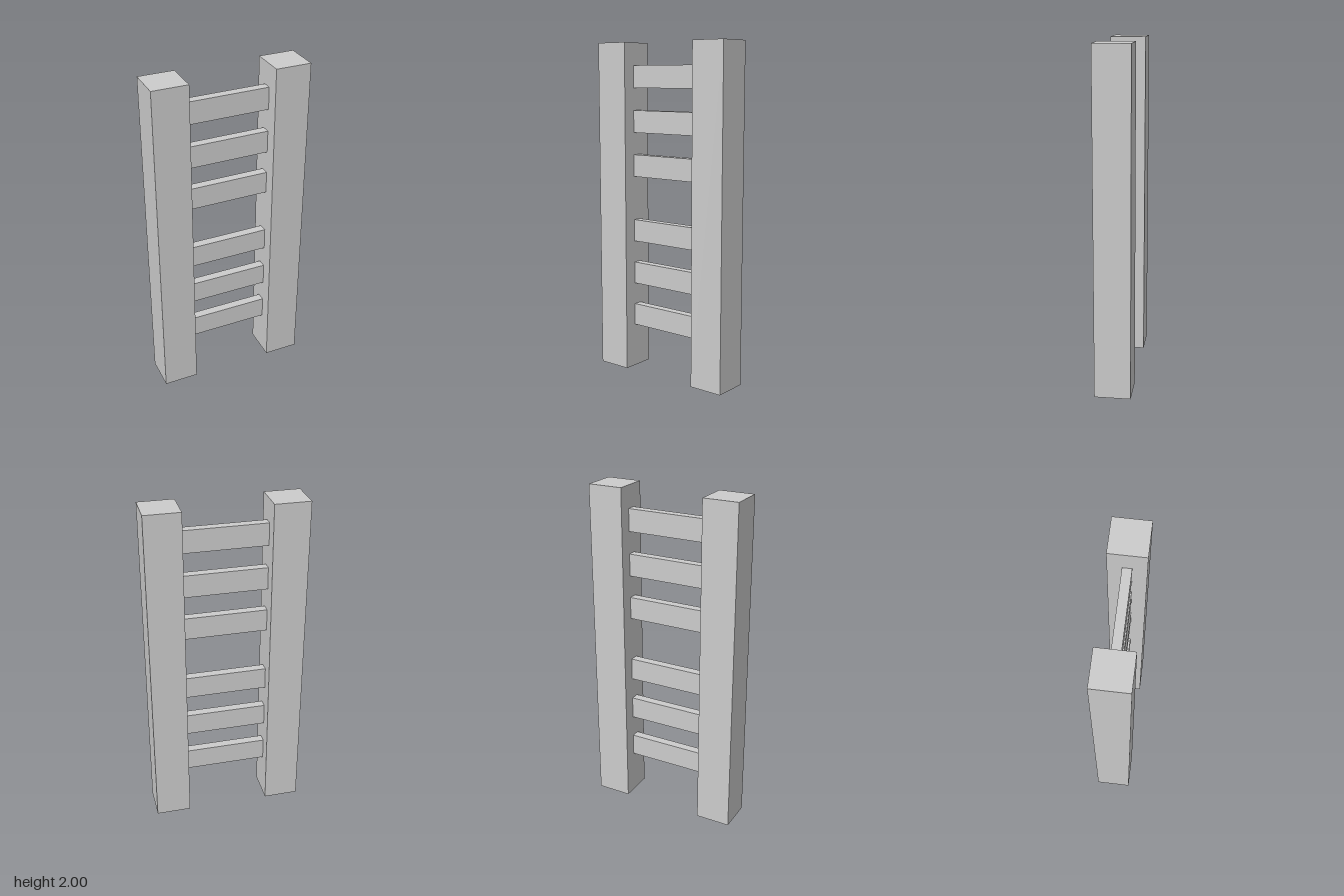
import * as THREE from 'three';

export function createModel() {
  const group = new THREE.Group();
  const material = new THREE.MeshStandardMaterial({ color: 0xcccccc, flatShading: true });

  function addBox(name, width, height, depth, x, y) {
    const mesh = new THREE.Mesh(new THREE.BoxGeometry(width, height, depth), material);
    mesh.name = name;
    mesh.position.set(x, y, 0);
    group.add(mesh);
  }

  // Two square upright posts
  const inner = 0.25, postSize = 0.21;
  addBox('leftPost', postSize, 2, postSize, inner + postSize / 2, 1);
  addBox('rightPost', postSize, 2, postSize, -inner - postSize / 2, 1);

  // Two sets of three flat rungs, with a wider gap in the middle
  const unit = 2 / 15;
  [5, 9, 13, 19, 23, 27].forEach((step, i) => {
    addBox(`rung${i + 1}`, inner * 2, unit, 0.053, 0, step / 15);
  });

  return group;
}
